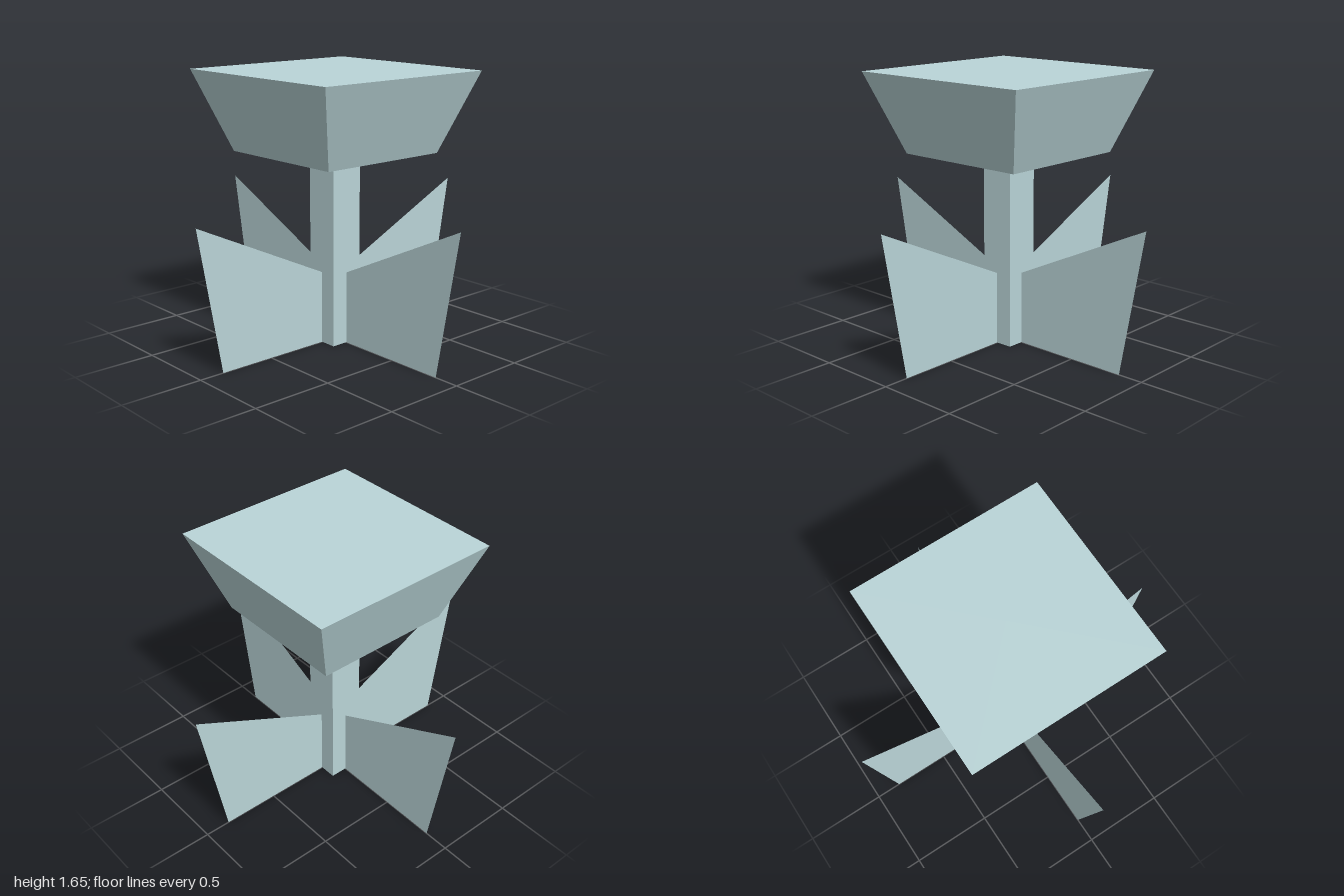
import * as THREE from 'three';

export function createModel() {
  const model = new THREE.Group();
  const material = new THREE.MeshStandardMaterial({ color: 0xbad5d8, flatShading: true });
  const finMaterial = material.clone();
  finMaterial.side = THREE.DoubleSide;

  const add = (name, geometry, mat = material) => {
    const mesh = new THREE.Mesh(geometry, mat);
    mesh.name = name;
    model.add(mesh);
    return mesh;
  };

  const stemHalf = 0.105, headBottom = 1.165, headTop = 1.65;

  // Square stem
  add('stem', new THREE.BoxGeometry(stemHalf * 2, headBottom, stemHalf * 2))
    .position.y = headBottom / 2;

  // Flared square head: a four-sided frustum turned to face the axes
  const head = new THREE.CylinderGeometry(
    0.6 * Math.SQRT2, 0.425 * Math.SQRT2, headTop - headBottom, 4);
  head.rotateY(Math.PI / 4);
  add('head', head).position.y = (headTop + headBottom) / 2;

  // Four thin fins around the stem
  const finShape = new THREE.Shape([
    new THREE.Vector2(stemHalf, 0),
    new THREE.Vector2(0.845, 0),
    new THREE.Vector2(1, 0.87),
    new THREE.Vector2(stemHalf, 0.445),
  ]);
  const finGeometry = new THREE.ShapeGeometry(finShape);
  ['leftFin', 'backFin', 'rightFin', 'frontFin'].forEach((name, i) => {
    add(name, finGeometry, finMaterial).rotation.y = i * Math.PI / 2;
  });

  return model;
}
